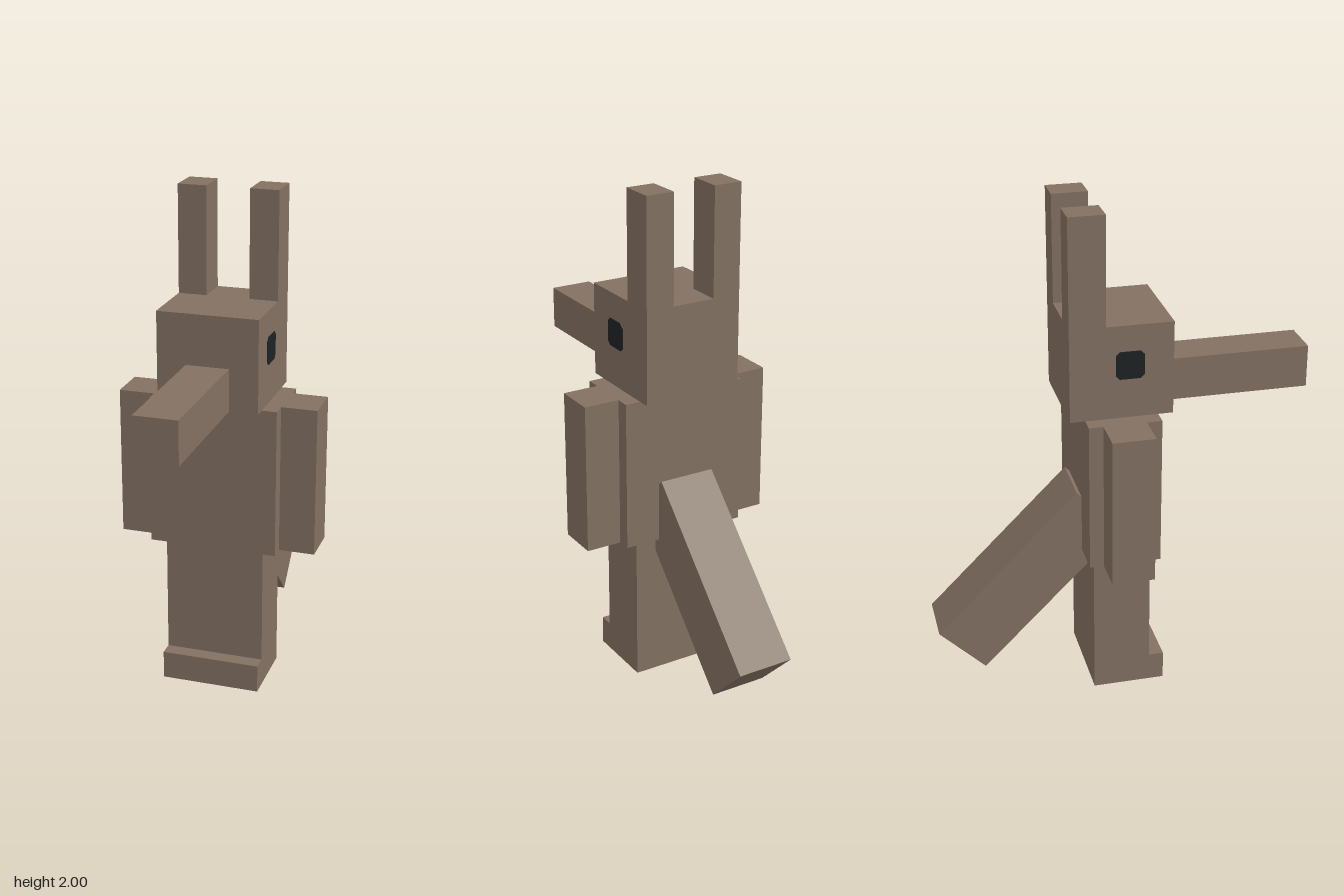
import * as THREE from 'three';

export function createModel() {
  const model = new THREE.Group();
  model.name = 'longEaredBeakedCreature';

  const fur = new THREE.MeshStandardMaterial({ color: 0x837162 });
  fur.name = 'brown fur';
  const eyeBlack = new THREE.MeshStandardMaterial({ color: 0x1f2224 });
  eyeBlack.name = 'eye black';

  // Box given by its lower and upper limits on each axis
  function block(name, [x0, x1], [y0, y1], [z0, z1]) {
    const mesh = new THREE.Mesh(new THREE.BoxGeometry(x1 - x0, y1 - y0, z1 - z0), fur);
    mesh.position.set((x0 + x1) / 2, (y0 + y1) / 2, (z0 + z1) / 2);
    mesh.name = name;
    model.add(mesh);
    return mesh;
  }

  // Legs joined as one block, with a toe ledge in front
  block('legs', [-0.2, 0.2], [0, 0.6], [-0.135, 0.093]);
  block('toes', [-0.2, 0.2], [0, 0.115], [0.093, 0.153]);

  // Torso, head and beak
  block('torso', [-0.257, 0.257], [0.6, 1.2], [-0.163, 0.12]);
  block('head', [-0.2, 0.2], [1.203, 1.573], [-0.222, 0.177]);
  block('beak', [-0.085, 0.085], [1.203, 1.372], [0.177, 0.75]);

  // Tail slanting down and back
  const tail = block('tail', [-0.114, 0.114], [-0.4, 0.4], [-0.128, 0.128]);
  tail.position.set(0, 0.483, -0.374);
  tail.rotation.x = Math.PI / 4;

  // Eye outline: a square with clipped corners
  const h = 0.055, c = 0.04;
  const eyeShape = new THREE.Shape([
    [-c, -h], [c, -h], [h, -c], [h, c], [c, h], [-c, h], [-h, c], [-h, -c],
  ].map(([x, y]) => new THREE.Vector2(x, y)));
  const eyeGeometry = new THREE.ExtrudeGeometry(eyeShape, { depth: 0.004, bevelEnabled: false });

  // Mirrored arms, ears and eyes
  for (const [side, s] of [['left', 1], ['right', -1]]) {
    const span = (a, b) => (s > 0 ? [a, b] : [-b, -a]);
    block(side + 'Arm', span(0.257, 0.4), [0.6, 1.2], [-0.107, 0.06]);
    block(side + 'Ear', span(0.086, 0.2), [1.573, 2], [-0.222, -0.082]);

    const eye = new THREE.Mesh(eyeGeometry, eyeBlack);
    eye.name = side + 'Eye';
    eye.position.set(s * 0.199, 1.415, 0.009);
    eye.rotation.y = s * Math.PI / 2;
    model.add(eye);
  }

  return model;
}
